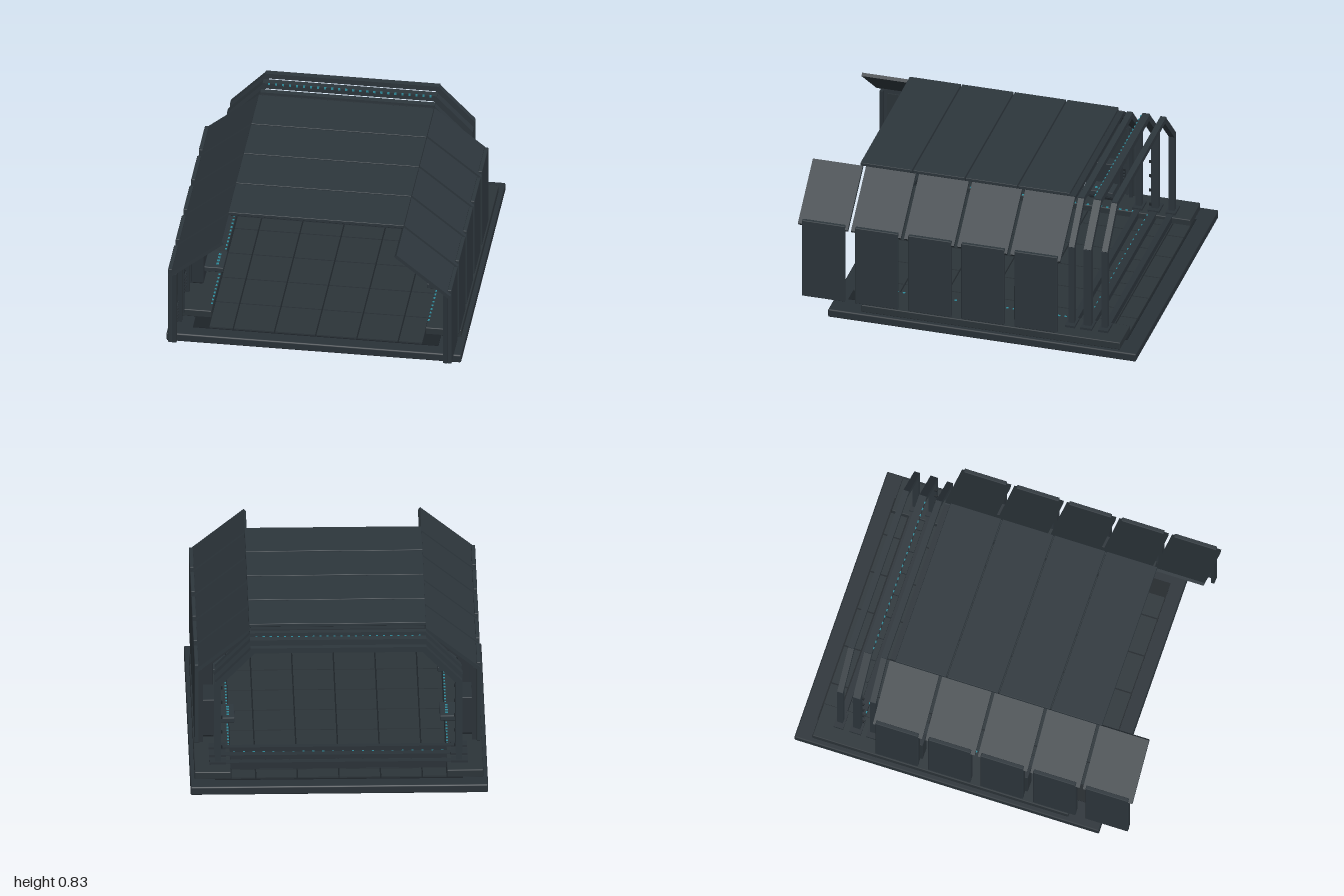
import * as THREE from 'three';
import { RoundedBoxGeometry } from 'three/addons/geometries/RoundedBoxGeometry.js';

const mat = (name, color) => Object.assign(new THREE.MeshStandardMaterial({ color }), { name });

export function createModel() {
  const model = new THREE.Group();
  model.name = 'hangarBay';
  const hull = mat('hull steel', 0x2d363c);
  const base = mat('base steel', 0x2a3238);
  const deck = mat('deck plate', 0x2c3439);
  const dark = mat('dark trim', 0x1d2328);
  const glow = mat('teal light', 0x2f8c9c);

  // Box given by its min and max along each axis
  function box(name, material, [x0, x1], [y0, y1], [z0, z1], round = 0, parent = model) {
    const s = [x1 - x0, y1 - y0, z1 - z0];
    const geo = round ? new RoundedBoxGeometry(...s, 1, round) : new THREE.BoxGeometry(...s);
    const m = new THREE.Mesh(geo, material);
    m.position.set((x0 + x1) / 2, (y0 + y1) / 2, (z0 + z1) / 2);
    m.name = name;
    parent.add(m);
    return m;
  }
  // The same box on both sides of the model
  function pair(name, material, [x0, x1], y, z, round) {
    box(name + 'Left', material, [x0, x1], y, z, round);
    box(name + 'Right', material, [-x1, -x0], y, z, round);
  }
  // Mirrored slab running between two points in the front plane
  function slopePair(name, material, [ax, ay], [bx, by], thick, zc, depth) {
    for (const s of [1, -1]) {
      const m = new THREE.Mesh(
        new THREE.BoxGeometry(Math.hypot(bx - ax, by - ay), thick, depth), material);
      m.position.set(s * (ax + bx) / 2, (ay + by) / 2, zc);
      m.rotation.z = s * Math.atan2(by - ay, bx - ax);
      m.name = name + (s > 0 ? 'Left' : 'Right');
      model.add(m);
    }
  }

  // Base slab, dark joint layer and side curbs
  box('baseSlab', base, [-0.84, 0.84], [0, 0.05], [-1, 0.81], 0.008);
  box('floorJoints', dark, [-0.7, 0.7], [0.049, 0.053], [-0.91, 0.73]);
  pair('curb', deck, [0.61, 0.815], [0.05, 0.095], [-0.9, 0.62], 0.005);

  // Floor tiles
  const cols = [-0.61, -0.47, -0.235, 0, 0.235, 0.47, 0.61];
  const rows = [-0.905, -0.8, -0.555, -0.3, -0.045, 0.21, 0.465, 0.73];
  for (let i = 0; i < cols.length - 1; i++)
    for (let j = 0; j < rows.length - 1; j++)
      box('floorTile', deck, [cols[i] + 0.004, cols[i + 1] - 0.004], [0.05, 0.061],
        [rows[j] + 0.004, rows[j + 1] - 0.004]);

  // Five wall bays, each with wall panel, posts, vent and sloped eave panel
  const pitch = 0.312;
  for (let i = 0; i < 5; i++) {
    const z = 0.85 - i * pitch;
    pair('wallPanel', hull, [0.785, 0.808], [0.095, 0.588], [z - 0.13, z + 0.122], 0.004);
    slopePair('eavePanel', hull, [0.492, 0.807], [0.799, 0.556], 0.02, z, 0.293);
    for (const dz of [-0.118, 0.1])
      pair('wallPost', base, [0.76, 0.785], [0.095, 0.55], [z + dz, z + dz + 0.02]);
    pair('wallInset', deck, [0.778, 0.785], [0.3, 0.53], [z - 0.08, z + 0.08]);
    pair('ventBack', dark, [0.78, 0.785], [0.15, 0.26], [z - 0.07, z + 0.07]);
    for (let k = 0; k < 5; k++)
      pair('ventSlat', base, [0.772, 0.783], [0.157 + k * 0.021, 0.167 + k * 0.021],
        [z - 0.07, z + 0.07]);
    slopePair('eaveRib', base, [0.5, 0.785], [0.765, 0.56], 0.02, z - 0.125, 0.02);
  }

  // Four roof panels with a joint beam below each seam
  for (let i = 0; i < 4; i++) {
    const z = 0.566 - i * 0.309;
    box('roofPanel', hull, [-0.5, 0.5], [0.814, 0.834], [z - 0.151, z + 0.151], 0.003);
    box('roofBeam', base, [-0.49, 0.49], [0.79, 0.815], [z - 0.15, z - 0.115]);
    box('roofBeam', base, [-0.49, 0.49], [0.79, 0.815], [z + 0.09, z + 0.12]);
    for (const x of [-0.38, 0.38])
      box('roofFixture', dark, [x - 0.05, x + 0.05], [0.8, 0.815], [z - 0.03, z + 0.03]);
  }
  box('rearRoofBeam', base, [-0.49, 0.49], [0.79, 0.815], [-0.545, -0.505]);

  // Three free-standing arches at the rear
  [[-0.58, 0.034], [-0.675, 0.044], [-0.775, 0.034]].forEach(([z, d], i) => {
    const zr = [z - d / 2, z + d / 2];
    const grow = i === 1 ? 0.004 : 0;
    pair('archLeg', hull, [0.663, 0.697 + grow], [0.095, 0.6], zr);
    slopePair('archSlope', hull, [0.482, 0.802 + grow], [0.684 + grow, 0.592], 0.034, z, d);
    box('archBeam', hull, [-0.497, 0.497], [0.787, 0.818 + grow], zr);
    box('archSill', base, [-0.66, 0.66], [0.06, 0.1], zr);
    pair('archFoot', base, [0.635, 0.73], [0.09, 0.108], [zr[0] - 0.012, zr[1] + 0.012]);
  });

  // Segmented threshold plates between the sills
  for (let i = 0; i < 10; i++) {
    const x = -0.685 + i * 0.137;
    box('thresholdPlate', deck, [x + 0.004, x + 0.133], [0.06, 0.075], [-0.753, -0.702]);
  }

  // Lights on the middle arch: legs, beam and sill
  for (let k = 0; k < 5; k++)
    pair('legLight', dark, [0.654, 0.664], [0.125 + k * 0.093, 0.14 + k * 0.093], [-0.658, -0.644]);
  for (let k = 0; k < 24; k++) {
    const x = -0.46 + k * 0.04;
    box('beamLight', glow, [x - 0.006, x + 0.006], [0.813, 0.825], [-0.656, -0.65]);
    box('sillLight', glow, [x * 1.4 - 0.006, x * 1.4 + 0.006], [0.094, 0.102], [-0.656, -0.65]);
  }

  // Dotted guide lights along both curbs
  for (let k = 0; k < 30; k++) {
    const z = 0.54 - k * 0.038;
    pair('guideLight', glow, [0.613, 0.623], [0.094, 0.098], [z - 0.007, z + 0.007]);
  }

  // Wall consoles with a shelf desk and buttons
  for (const z of [0.262, -0.362]) {
    pair('consoleCabinet', base, [0.69, 0.762], [0.11, 0.334], [z - 0.1, z + 0.1], 0.004);
    pair('consoleFoot', dark, [0.7, 0.76], [0.095, 0.11], [z - 0.08, z + 0.08]);
    pair('consoleDesk', hull, [0.58, 0.69], [0.185, 0.215], [z - 0.09, z + 0.09], 0.004);
    for (let k = 0; k < 4; k++)
      pair('consoleButton', glow, [0.61, 0.625], [0.214, 0.219],
        [z - 0.055 + k * 0.032, z - 0.041 + k * 0.032]);
  }
  return model;
}
